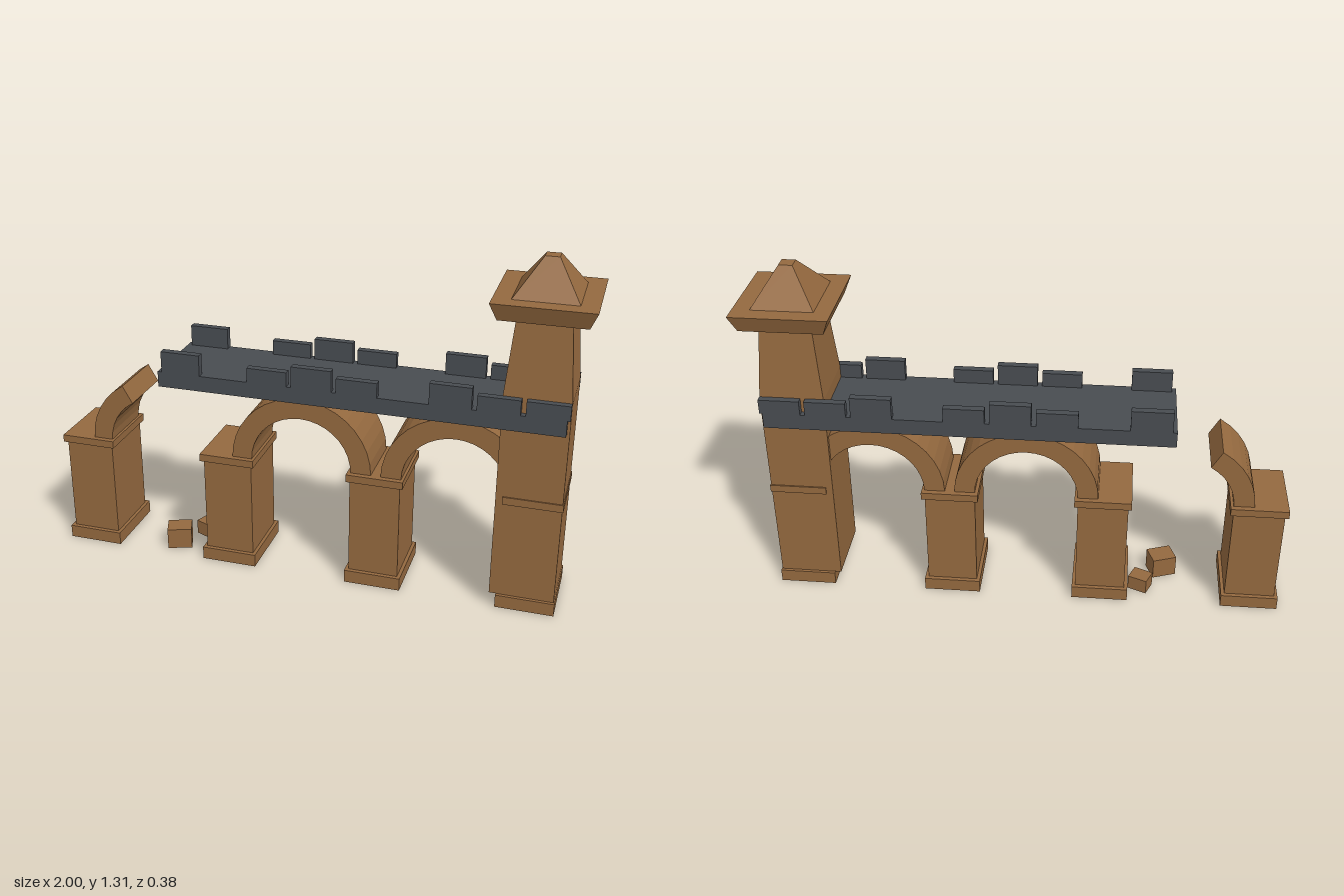
import * as THREE from 'three';

const stone = new THREE.MeshStandardMaterial({ color: 0x94693f });
stone.name = 'brown stone';
const slate = new THREE.MeshStandardMaterial({ color: 0x484c51 });
slate.name = 'dark slate';

// Block standing on y0, with optional narrower or wider top (half sizes)
function block(name, material, x, z, y0, y1, hx, hz, topX = hx, topZ = hz) {
  const geo = new THREE.BoxGeometry(2, y1 - y0, 2);
  const p = geo.attributes.position;
  for (let i = 0; i < p.count; i++) {
    const top = p.getY(i) > 0;
    p.setX(i, p.getX(i) * (top ? topX : hx));
    p.setZ(i, p.getZ(i) * (top ? topZ : hz));
  }
  geo.computeVertexNormals();
  const mesh = new THREE.Mesh(geo, material);
  mesh.name = name;
  mesh.position.set(x, (y0 + y1) / 2, z);
  return mesh;
}

// Faceted arch ring between two angles, measured from +x
function arch(name, x, from, to) {
  const outer = 0.27, inner = 0.193, depth = 0.236;
  const steps = Math.round((to - from) / (Math.PI / 18));
  const shape = new THREE.Shape();
  const at = (r, i) => {
    const a = from + (to - from) * i / steps;
    return [r * Math.cos(a), r * Math.sin(a)];
  };
  shape.moveTo(...at(outer, 0));
  for (let i = 1; i <= steps; i++) shape.lineTo(...at(outer, i));
  for (let i = steps; i >= 0; i--) shape.lineTo(...at(inner, i));
  shape.closePath();
  const geo = new THREE.ExtrudeGeometry(shape, { depth, bevelEnabled: false });
  geo.translate(0, 0, -depth / 2);
  const mesh = new THREE.Mesh(geo, stone);
  mesh.name = name;
  mesh.position.set(x, 0.454, 0);
  return mesh;
}

function pier(x) {
  const g = new THREE.Group();
  g.name = 'pier';
  g.add(block('pierBase', stone, x, 0, 0, 0.05, 0.108, 0.142));
  g.add(block('pierShaft', stone, x, 0, 0.05, 0.427, 0.095, 0.126));
  g.add(block('pierCap', stone, x, 0, 0.427, 0.456, 0.107, 0.139));
  return g;
}

export function createModel() {
  const model = new THREE.Group();
  model.name = 'ruinedBridge';
  const spacing = 0.576;

  // Piers, the last one buried in the tower
  for (let i = 0; i < 4; i++) model.add(pier(-0.891 + i * spacing));

  // Broken arch stub and two whole arches
  model.add(arch('brokenArch', -0.602, Math.PI * 2 / 3, Math.PI));
  for (let i = 1; i < 3; i++) model.add(arch('arch', -0.602 + i * spacing, 0, Math.PI));

  // Tower with flared cornice and cut-off pyramid roof
  const tower = new THREE.Group();
  tower.name = 'tower';
  const tx = 0.8225;
  tower.add(block('towerShaft', stone, tx, 0, 0.053, 0.835, 0.118, 0.134));
  tower.add(block('towerUpper', stone, tx, 0, 0.835, 1.125, 0.118, 0.134, 0.093, 0.11));
  tower.add(block('towerCornice', stone, tx, 0, 1.122, 1.185, 0.151, 0.168, 0.176, 0.192));
  tower.add(block('towerRoof', stone, tx, 0, 1.185, 1.312, 0.113, 0.129, 0.025, 0.025));
  model.add(tower);

  // Deck with merlons along both sides; two positions have crumbled away
  model.add(block('deck', slate, 0.182, 0, 0.726, 0.786, 0.748, 0.159));
  for (const side of [-1, 1]) {
    for (let i = 0; i < 9; i++) {
      if (i === 1 || i === 5) continue;
      const top = i % 3 === 0 ? 0.866 : 0.841;
      model.add(block('merlon', slate, -0.475 + i * 0.1675, side * 0.145, 0.786, top, 0.075, 0.014));
    }
  }

  // Fallen stones
  const big = block('fallenStone', stone, -0.555, 0.06, 0, 0.083, 0.0475, 0.04);
  big.rotation.y = 0.35;
  const small = block('fallenStone', stone, -0.473, -0.05, 0, 0.058, 0.038, 0.032);
  small.rotation.y = -0.4;
  model.add(big, small);

  return model;
}
